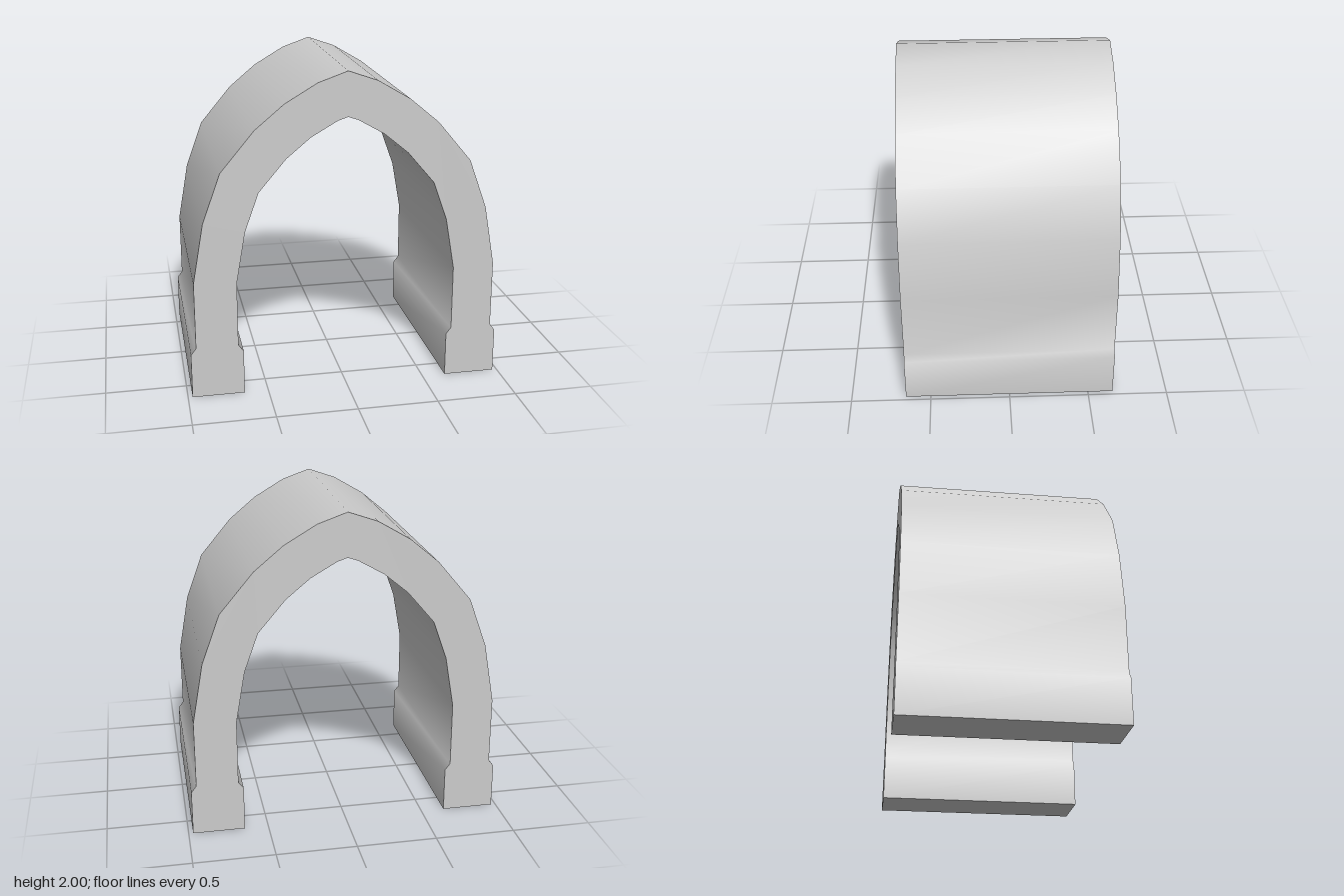
import * as THREE from 'three';
import { toCreasedNormals } from 'three/addons/utils/BufferGeometryUtils.js';

const DEPTH = 1.315;

// Left half of the arch section, from the foot up to the pointed crown
const OUTER = [[0.972, 0], [0.972, 0.283], [0.94, 0.325], [0.94, 0.745], [0.873, 1.12],
  [0.762, 1.425], [0.555, 1.672], [0.378, 1.82], [0.18, 1.937], [0, 2]];
const INNER = [[0.648, 0], [0.648, 0.283], [0.68, 0.325], [0.68, 0.732], [0.623, 1.055],
  [0.537, 1.295], [0.37, 1.492], [0.222, 1.615], [0.062, 1.707], [0, 1.728]];

// Mirror a half profile into a full run from the left foot to the right foot
function fullRun(half) {
  const mirrored = half.slice(0, -1).reverse().map(([x, y]) => [-x, y]);
  return [...half, ...mirrored].map(([x, y]) => new THREE.Vector2(x, y));
}

export function createModel() {
  const group = new THREE.Group();
  group.name = 'pointedArch';

  // Vault: the arch section swept along z, smooth around the curve, sharp at ends and feet
  const section = new THREE.Shape([...fullRun(OUTER), ...fullRun(INNER).reverse()]);
  const swept = new THREE.ExtrudeGeometry(section, { depth: DEPTH, bevelEnabled: false });
  swept.translate(0, 0, -DEPTH / 2);

  const vault = new THREE.Mesh(
    toCreasedNormals(swept, THREE.MathUtils.degToRad(55)),
    new THREE.MeshStandardMaterial({ color: 0xcccccc })
  );
  vault.name = 'archVault';
  group.add(vault);
  return group;
}
